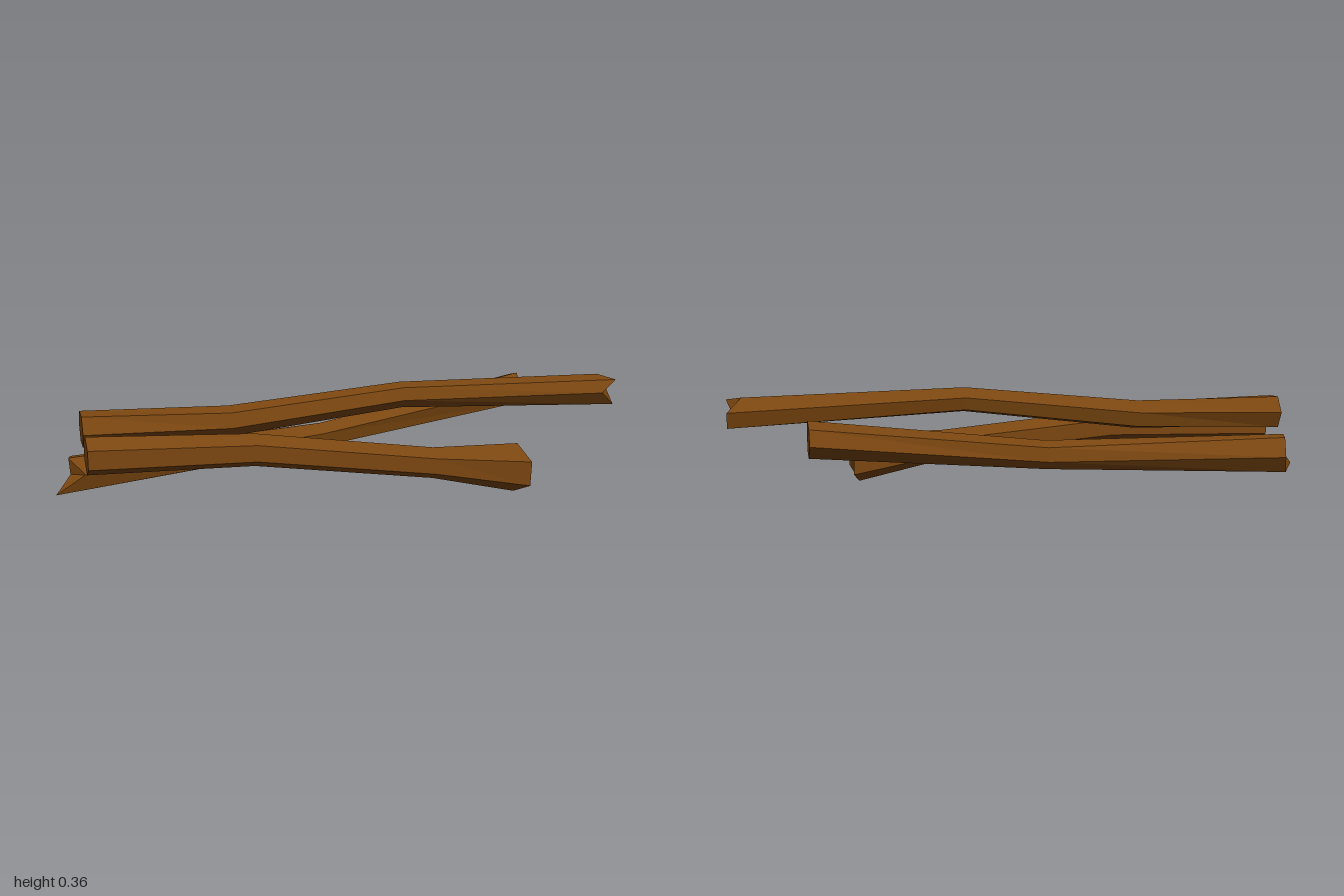
import * as THREE from 'three';

// Hexagonal section facing x, listed from the top towards -z
function ring(x, y, z, r, turn = 0) {
  return Array.from({ length: 6 }, (_, i) => {
    const t = (i * 60 + turn) * Math.PI / 180;
    return [x, y + r * Math.cos(t), z - r * Math.sin(t)];
  });
}

// Skin the sections from -x to +x and close both ends
function branch(name, rings, material) {
  const pos = [];
  const tri = (a, b, c) => pos.push(...a, ...b, ...c);
  const centre = (r) => [0, 1, 2].map((k) => r.reduce((s, p) => s + p[k], 0) / r.length);
  const first = rings[0], last = rings[rings.length - 1];
  const c0 = centre(first), c1 = centre(last);
  for (let i = 0; i < 6; i++) {
    const n = (i + 1) % 6;
    for (let j = 0; j < rings.length - 1; j++) {
      const p = rings[j], q = rings[j + 1];
      tri(p[i], q[i], p[n]);
      tri(q[i], q[n], p[n]);
    }
    tri(c0, first[i], first[n]);
    tri(c1, last[n], last[i]);
  }
  const geo = new THREE.BufferGeometry();
  geo.setAttribute('position', new THREE.Float32BufferAttribute(pos, 3));
  geo.computeVertexNormals(); // unshared corners give flat facets
  const mesh = new THREE.Mesh(geo, material);
  mesh.name = name;
  return mesh;
}

export function createModel() {
  const group = new THREE.Group();
  group.name = 'branches';
  const wood = new THREE.MeshStandardMaterial({ color: 0x7a4610 });
  wood.name = 'brown wood';

  // Upper branch, resting across the middle
  group.add(branch('upperBranch', [
    ring(-0.9, 0.255, -0.116, 0.063, 25),
    ring(-0.4, 0.256, -0.068, 0.053, 15),
    ring(0.2, 0.321, 0.0, 0.045, 15),
    [[0.95, 0.35, 0.03], [1, 0.305, -0.005], [1, 0.25, 0.01],
      [1, 0.242, 0.07], [0.94, 0.295, 0.1], [1, 0.337, 0.083]],
  ], wood));

  // Front branch, with the thick forked end
  group.add(branch('frontBranch', [
    ring(-0.9, 0.195, 0.006, 0.066),
    ring(-0.35, 0.192, 0.088, 0.057),
    ring(0.25, 0.123, 0.195, 0.055),
    [[0.55, 0.176, 0.228], [0.57, 0.132, 0.145], [0.57, 0.04, 0.145],
      [0.545, 0, 0.22], [0.57, 0.042, 0.303], [0.57, 0.13, 0.31]],
  ], wood));

  // Rear branch, with the splintered end
  group.add(branch('rearBranch', [
    [[-0.95, 0.165, -0.09], [-0.94, 0.16, -0.13], [-0.93, 0.095, -0.168],
      [-0.95, 0.032, -0.125], [-1, 0.05, -0.053], [-0.9, 0.115, -0.045]],
    ring(-0.05, 0.148, -0.166, 0.049, -10),
    [[0.75, 0.31, -0.228], [0.75, 0.292, -0.288], [0.75, 0.24, -0.308],
      [0.75, 0.19, -0.245], [0.75, 0.2, -0.2], [0.75, 0.265, -0.182]],
  ], wood));

  return group;
}
